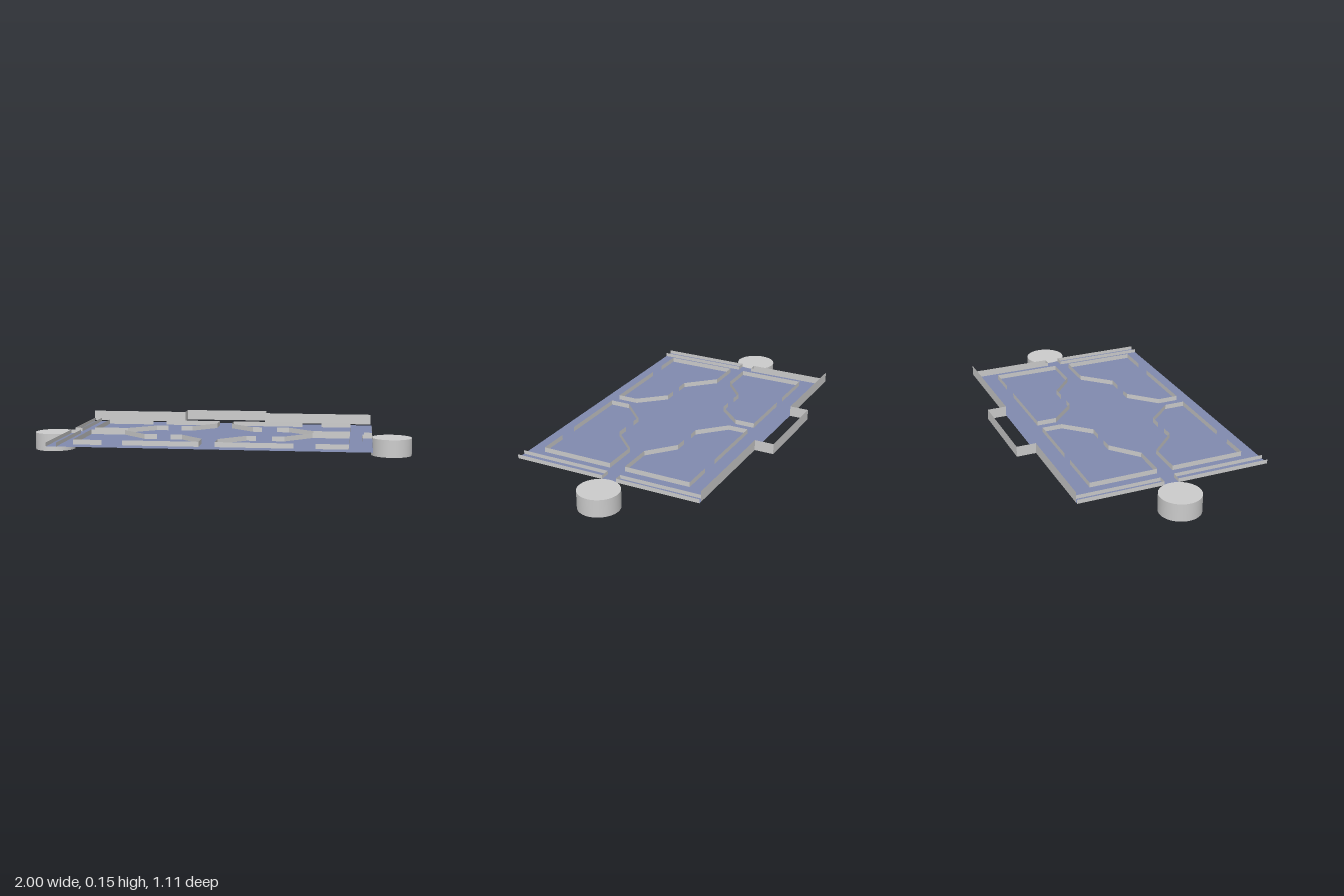
import * as THREE from 'three';

const grey = new THREE.MeshStandardMaterial({ color: 0xcccccc, side: THREE.DoubleSide });
const blue = new THREE.MeshStandardMaterial({ color: 0x808aaf, side: THREE.DoubleSide });

// Thin upright wall following a path of [x, z] points
function wall(name, path, y0, y1) {
  const pos = [];
  for (let i = 0; i < path.length - 1; i++) {
    const [ax, az] = path[i], [bx, bz] = path[i + 1];
    pos.push(ax, y0, az, bx, y0, bz, bx, y1, bz, ax, y0, az, bx, y1, bz, ax, y1, az);
  }
  const g = new THREE.BufferGeometry();
  g.setAttribute('position', new THREE.Float32BufferAttribute(pos, 3));
  g.computeVertexNormals();
  const m = new THREE.Mesh(g, grey);
  m.name = name;
  return m;
}

export function createModel() {
  const group = new THREE.Group();

  // Floor slab
  const floor = new THREE.Mesh(new THREE.PlaneGeometry(1.59, 1.0).rotateX(-Math.PI / 2), blue);
  floor.position.set(0, 0.09, 0.05);
  floor.name = 'floor';
  group.add(floor);

  // Round drums beside the floor
  for (const s of [-1, 1]) {
    const drum = new THREE.Mesh(new THREE.CylinderGeometry(0.105, 0.105, 0.091, 48), grey);
    drum.position.set(s * 0.895, 0.0455, 0.026);
    drum.name = s > 0 ? 'leftDrum' : 'rightDrum';
    group.add(drum);
  }

  // Tall back wall stepping out around a bay
  group.add(wall('backWall', [[-0.795, -0.455], [-0.265, -0.455], [-0.265, -0.555],
    [0.195, -0.555], [0.195, -0.455], [0.79, -0.455]], 0.095, 0.15));

  // Double side walls, joined at the opening towards each drum
  for (const s of [-1, 1]) {
    const side = s > 0 ? 'left' : 'right';
    group.add(wall(side + 'BackRail', [[s * 0.795, -0.45], [s * 0.795, -0.008],
      [s * 0.754, -0.008], [s * 0.754, -0.45]], 0.088, 0.109));
    group.add(wall(side + 'FrontRail', [[s * 0.795, 0.55], [s * 0.795, 0.067],
      [s * 0.744, 0.067], [s * 0.744, 0.55]], 0.088, 0.109));
  }

  // Low inner walls: each quarter has an outer corner piece and an inner piece.
  // gapA/gapB are the ends of the two pieces along the long edge.
  const quarters = [
    { name: 'backRight', s: -1, mid: 0.05, z: [-0.34, -0.235, -0.107, 0.01], gapA: 0.43, gapB: 0.355 },
    { name: 'backLeft', s: 1, mid: 0.03, z: [-0.34, -0.235, -0.107, 0.01], gapA: 0.52, gapB: 0.415 },
    { name: 'frontRight', s: -1, mid: 0.05, z: [0.47, 0.363, 0.232, 0.092], gapA: 0.535, gapB: 0.43 },
    { name: 'frontLeft', s: 1, mid: 0.03, z: [0.47, 0.363, 0.232, 0.092], gapA: 0.52, gapB: 0.415 },
  ];
  for (const { name, s, mid, z, gapA, gapB } of quarters) {
    const shift = s < 0 ? 0.01 : 0;
    const place = (pts) => pts.map(([x, pz]) => [s * x, pz]);
    group.add(wall(name + 'CornerWall', place([[gapA, z[0]], [0.68, z[0]], [0.68, z[3]],
      [0.49 + shift, z[3]], [0.355 + shift, z[2]], [0.29 + shift, z[2]]]), 0.088, 0.115));
    group.add(wall(name + 'InnerWall', place([[gapB, z[0]], [mid, z[0]], [mid, z[1]],
      [0.16 + shift, z[2]], [0.21 + shift * 2, z[2]]]), 0.088, 0.115));
  }
  return group;
}
